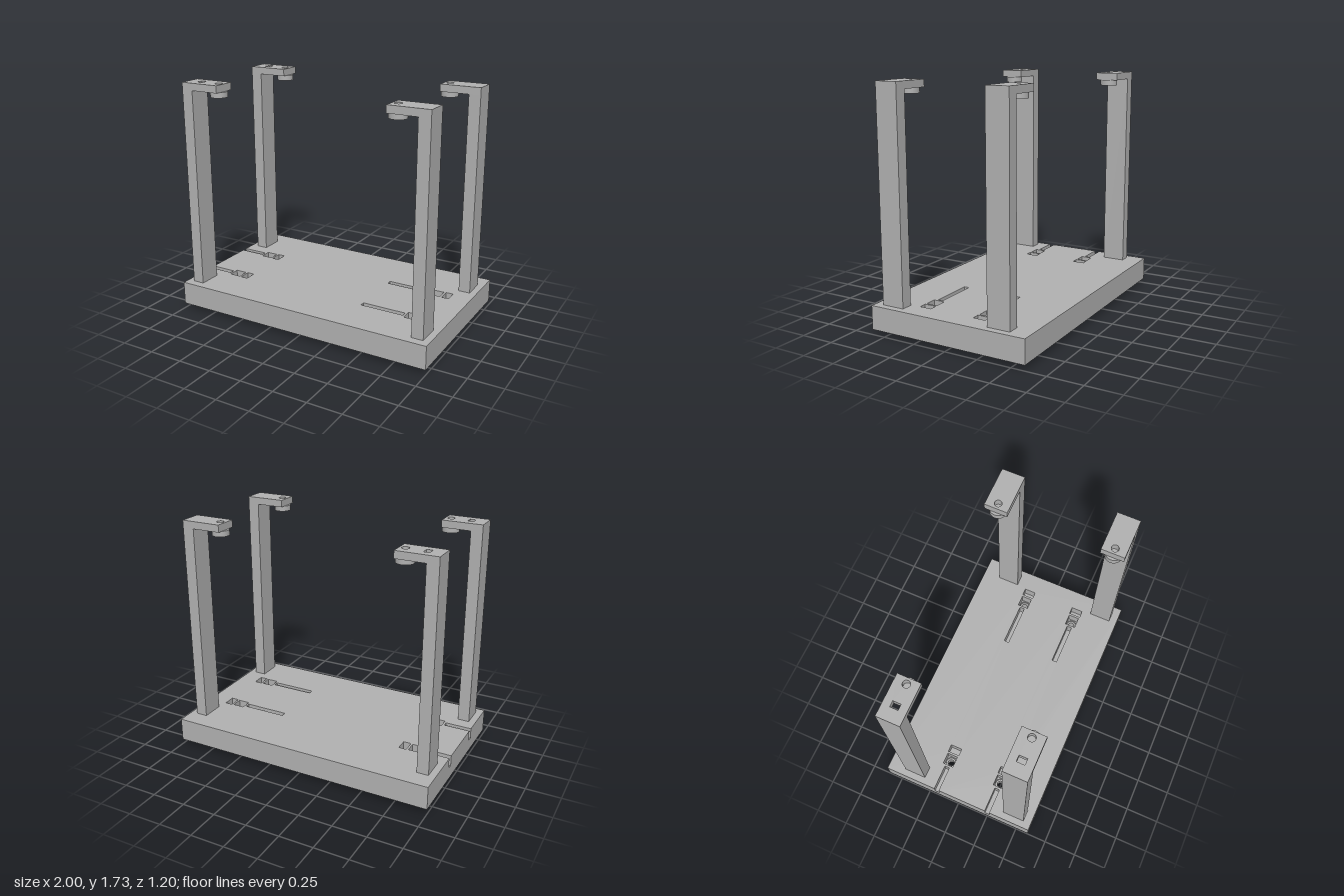
import * as THREE from 'three';

const grey = new THREE.MeshStandardMaterial({ color: 0xb1b1b1 });
grey.name = 'plain grey';

function part(name, geometry, x = 0, y = 0, z = 0) {
  const mesh = new THREE.Mesh(geometry, grey);
  mesh.name = name;
  mesh.position.set(x, y, z);
  return mesh;
}

// Closed paths in the ground plane, as (x, z)
const path = (points) => new THREE.Path(points.map(([x, z]) => new THREE.Vector2(x, z)));
const rect = (x0, x1, z0, z1) => path([[x0, z0], [x1, z0], [x1, z1], [x0, z1], [x0, z0]]);
const circle = (x, z, r) => {
  const p = new THREE.Path();
  p.absarc(x, z, r, 0, Math.PI * 2);
  return p;
};

// Horizontal plate from its outline, with holes cut straight through
function plate(name, outline, holes, bottom, top) {
  const shape = new THREE.Shape(outline.getPoints(24));
  shape.holes = holes;
  const geometry = new THREE.ExtrudeGeometry(shape, { depth: top - bottom, bevelEnabled: false, curveSegments: 24 });
  geometry.rotateX(Math.PI / 2);
  return part(name, geometry, 0, top, 0);
}

function createBase() {
  const base = new THREE.Group();
  base.name = 'base';
  const rows = [-0.175, 0.255];
  const bolts = [-0.745, 0.738];
  const pockets = [];
  const counterbores = [];
  const boltHoles = [];
  for (const z of rows) {
    for (const x of bolts) {
      pockets.push(rect(x - 0.043, x + 0.043, z - 0.041, z + 0.041));
      pockets.push(rect(x + 0.059, x + 0.115, z - 0.045, z + 0.045));
      counterbores.push(circle(x, z, 0.039));
      boltHoles.push(circle(x, z, 0.025));
    }
    pockets.push(rect(0.35, 0.68, z - 0.019, z + 0.019));
  }
  // Top layer: pockets, closed grooves and two grooves open at the left-hand edge
  const outline = [[-1, -0.6], [1, -0.6], [1, 0.6], [-1, 0.6]];
  for (const z of [...rows].reverse()) {
    outline.push([-1, z + 0.019], [-0.805, z + 0.019], [-0.805, z - 0.019], [-1, z - 0.019]);
  }
  base.add(plate('baseTop', path(outline), pockets, 0.13, 0.21));
  base.add(plate('baseMiddle', rect(-1, 1, -0.6, 0.6), counterbores, 0.11, 0.13));
  base.add(plate('baseBottom', rect(-1, 1, -0.6, 0.6), boltHoles, 0.038, 0.11));
  // Locating blocks underneath
  for (const x of [-0.4, 0.38]) {
    base.add(part('foot', new THREE.BoxGeometry(0.1, 0.038, 0.134), x, 0.019, 0));
  }
  return base;
}

function createBracket(side, z) {
  const bracket = new THREE.Group();
  bracket.name = side < 0 ? 'rightBracket' : 'leftBracket';
  const padX = side * 0.692;
  const half = 0.084;
  bracket.add(part('post', new THREE.BoxGeometry(0.086, 1.467, half * 2), side * 0.907, 0.9435, z));

  // Overhanging arm, with a square slot on one side of the stand only
  const holes = [circle(padX, z, 0.026)];
  if (side < 0) holes.push(rect(-0.862, -0.82, z - 0.028, z + 0.028));
  const [x0, x1] = side < 0 ? [-0.95, -0.65] : [0.65, 0.95];
  bracket.add(plate('arm', rect(x0, x1, z - half, z + half), holes, 1.677, 1.73));

  // Round pad with a hexagonal socket from below
  const hexagon = path([0, 1, 2, 3, 4, 5, 6].map((i) => {
    const a = (i * Math.PI) / 3;
    return [padX + 0.034 * Math.cos(a), z + 0.034 * Math.sin(a)];
  }));
  bracket.add(plate('padCap', circle(padX, z, 0.062), [], 1.665, 1.677));
  bracket.add(plate('padSocket', circle(padX, z, 0.062), [hexagon], 1.637, 1.665));
  return bracket;
}

export function createModel() {
  const model = new THREE.Group();
  model.name = 'stand';
  model.add(createBase());
  for (const side of [-1, 1]) {
    for (const z of [-0.381, 0.455]) model.add(createBracket(side, z));
  }
  return model;
}
